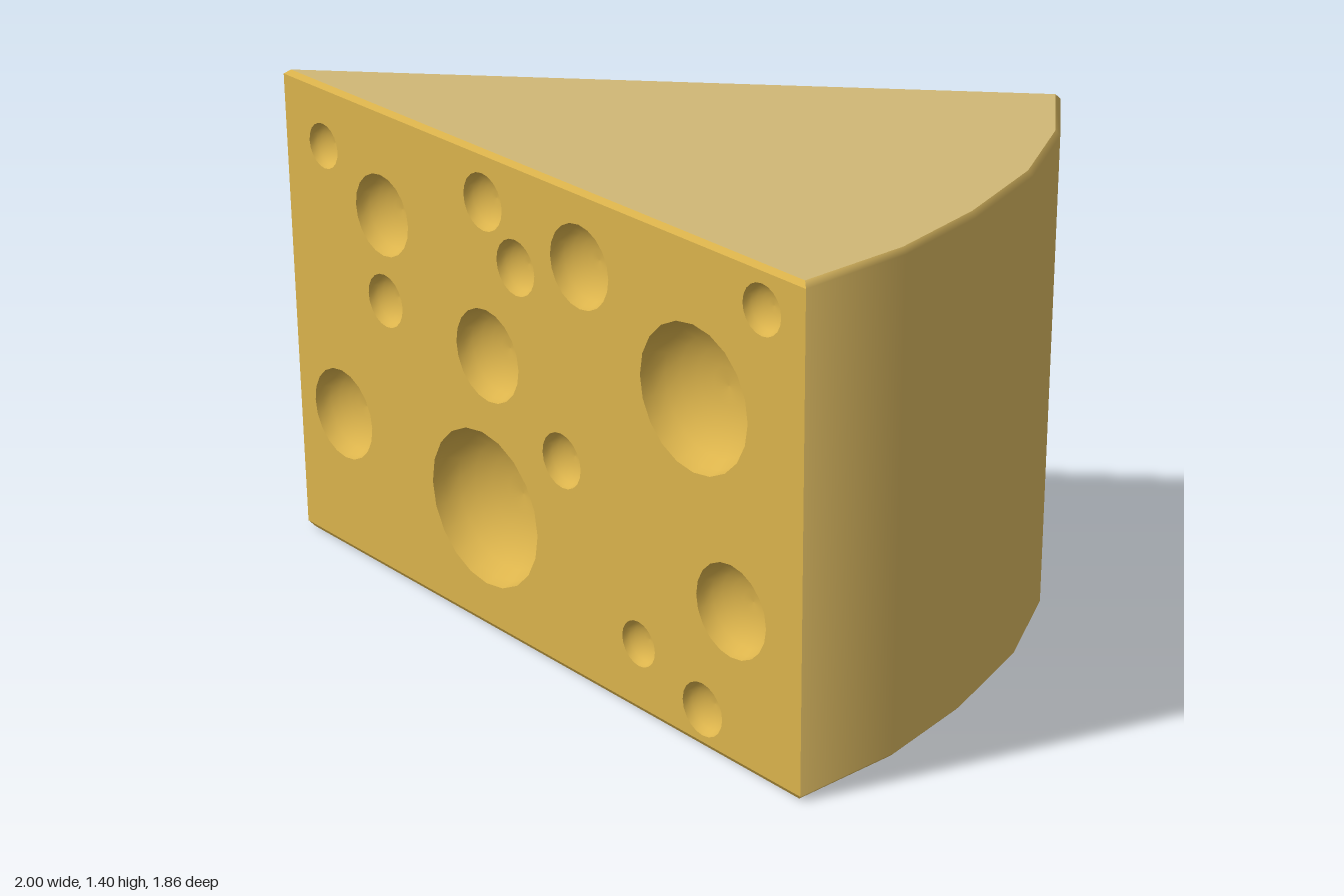
import * as THREE from 'three';

const H = 1.4, BEVEL = 0.015, INSET = 0.983, SEG = 20;

// Plan corners [x, z]: tip, then the round rind from left to right
const TIP = [-1, -0.93];
const ARC = [[-0.03, 0.93], [0.26, 0.78], [0.5, 0.59], [0.73, 0.35], [0.9, 0.08], [1, -0.2]];
const LEFT = ARC[0], RIGHT = ARC[ARC.length - 1];

// Holes: [distance from tip, height, radius]
const FRONT_HOLES = [
  [0.173, 1.22, 0.065], [0.43, 1.09, 0.117], [0.876, 1.255, 0.08], [1.006, 1.11, 0.078],
  [1.265, 1.19, 0.115], [1.946, 1.285, 0.068], [1.698, 0.97, 0.2], [0.876, 0.82, 0.132],
  [0.43, 0.84, 0.077], [1.179, 0.62, 0.078], [0.205, 0.425, 0.135], [0.843, 0.36, 0.228],
  [1.838, 0.435, 0.13], [1.481, 0.2, 0.065], [1.73, 0.11, 0.076],
];
const BACK_HOLES = [
  [1.977, 1.225, 0.073], [1.487, 1.155, 0.12], [0.892, 1.25, 0.113], [0.487, 1.065, 0.19],
  [1.647, 0.935, 0.07], [1.88, 0.81, 0.068], [1.224, 0.7, 0.205], [0.691, 0.64, 0.135],
  [0.388, 0.71, 0.073], [1.924, 0.425, 0.118], [0.446, 0.38, 0.12], [1.598, 0.225, 0.077],
  [0.948, 0.2, 0.11], [0.224, 0.255, 0.08], [0.429, 0.14, 0.07],
];

const inset = ([x, z], s) => [0.1 + (x - 0.1) * s, -0.05 + (z + 0.05) * s];

// Wall through plan points; rows are [inset scale, height] from bottom to top
function strip(points, rows) {
  const pos = [], idx = [], n = points.length;
  for (const [s, y] of rows) {
    for (const p of points) {
      const [x, z] = inset(p, s);
      pos.push(x, y, z);
    }
  }
  for (let r = 0; r < rows.length - 1; r++) {
    for (let i = 0; i < n - 1; i++) {
      const a = r * n + i, b = a + 1, c = a + n, d = c + 1;
      idx.push(a, b, d, a, d, c);
    }
  }
  const geo = new THREE.BufferGeometry();
  geo.setAttribute('position', new THREE.Float32BufferAttribute(pos, 3));
  geo.setIndex(idx);
  geo.computeVertexNormals();
  return geo;
}

// Unit outward normal of the wall running from a to b
const wallNormal = (a, b) => new THREE.Vector3(a[1] - b[1], 0, b[0] - a[0]).normalize();

// Cut side with round openings, bowls behind them and softened long edges
function cutSide(name, from, to, holes, material) {
  const group = new THREE.Group();
  group.name = name;
  const panel = new THREE.Group();
  panel.name = name + 'Panel';
  const length = Math.hypot(to[0] - from[0], to[1] - from[1]);
  const u = new THREE.Vector3(to[0] - from[0], 0, to[1] - from[1]).normalize();
  panel.applyMatrix4(new THREE.Matrix4()
    .makeBasis(u, new THREE.Vector3(0, 1, 0), wallNormal(from, to))
    .setPosition(from[0], 0, from[1]));

  const shape = new THREE.Shape([
    [0, BEVEL], [length, BEVEL], [length, H - BEVEL], [0, H - BEVEL],
  ].map(([x, y]) => new THREE.Vector2(x, y)));
  for (const [d, y, r] of holes) {
    const x = from === TIP ? d : length - d;
    const rim = [];
    for (let i = 0; i < SEG; i++) {
      const a = (i / SEG) * Math.PI * 2;
      rim.push(new THREE.Vector2(x + r * Math.cos(a), y + r * Math.sin(a)));
    }
    shape.holes.push(new THREE.Path(rim));

    const profile = [];
    for (let i = 0; i <= 6; i++) {
      const a = (i / 6) * Math.PI / 2;
      profile.push(new THREE.Vector2(i === 6 ? 0 : r * Math.cos(a), -0.6 * r * Math.sin(a)));
    }
    const bowl = new THREE.Mesh(new THREE.LatheGeometry(profile, SEG).rotateX(Math.PI / 2), material);
    bowl.name = 'hole';
    bowl.position.set(x, y, 0);
    panel.add(bowl);
  }
  const face = new THREE.Mesh(new THREE.ShapeGeometry(shape), material);
  face.name = 'cutFace';
  panel.add(face);
  group.add(panel);

  for (const rows of [[[INSET, 0], [1, BEVEL]], [[1, H - BEVEL], [INSET, H]]]) {
    const edge = new THREE.Mesh(strip([from, to], rows), material);
    edge.name = 'softEdge';
    group.add(edge);
  }
  return group;
}

// Flat top or bottom
function cap(name, y, up, material) {
  const points = [TIP, ...ARC].map((p) => {
    const [x, z] = inset(p, INSET);
    return new THREE.Vector2(x, up ? -z : z);
  });
  const geo = new THREE.ShapeGeometry(new THREE.Shape(points)).rotateX(up ? -Math.PI / 2 : Math.PI / 2);
  const mesh = new THREE.Mesh(geo, material);
  mesh.name = name;
  mesh.position.y = y;
  return mesh;
}

// Curved rind, shaded smoothly into the cut sides
function curvedRind(material) {
  const rows = [[INSET, 0], [1, BEVEL], [1, H - BEVEL], [INSET, H]];
  const geo = strip(ARC, rows);
  const normals = geo.attributes.normal, v = new THREE.Vector3();
  const ends = [[0, wallNormal(TIP, LEFT)], [ARC.length - 1, wallNormal(RIGHT, TIP)]];
  for (let r = 0; r < rows.length; r++) {
    for (const [i, side] of ends) {
      const k = r * ARC.length + i;
      v.fromBufferAttribute(normals, k).add(side).normalize();
      normals.setXYZ(k, v.x, v.y, v.z);
    }
  }
  const mesh = new THREE.Mesh(geo, material);
  mesh.name = 'curvedRind';
  return mesh;
}

export function createModel() {
  const cheese = new THREE.MeshStandardMaterial({ color: 0xdcb44c });
  cheese.name = 'cheese';
  const rind = new THREE.MeshStandardMaterial({ color: 0xd9b760 });
  rind.name = 'rind';
  const paleRind = new THREE.MeshStandardMaterial({ color: 0xd0b876 });
  paleRind.name = 'paleRind';

  const model = new THREE.Group();
  model.name = 'cheeseWedge';
  model.add(
    cutSide('frontCut', TIP, LEFT, FRONT_HOLES, cheese),
    cutSide('backCut', RIGHT, TIP, BACK_HOLES, cheese),
    curvedRind(rind),
    cap('top', H, true, paleRind),
    cap('bottom', 0, false, paleRind),
  );
  return model;
}
